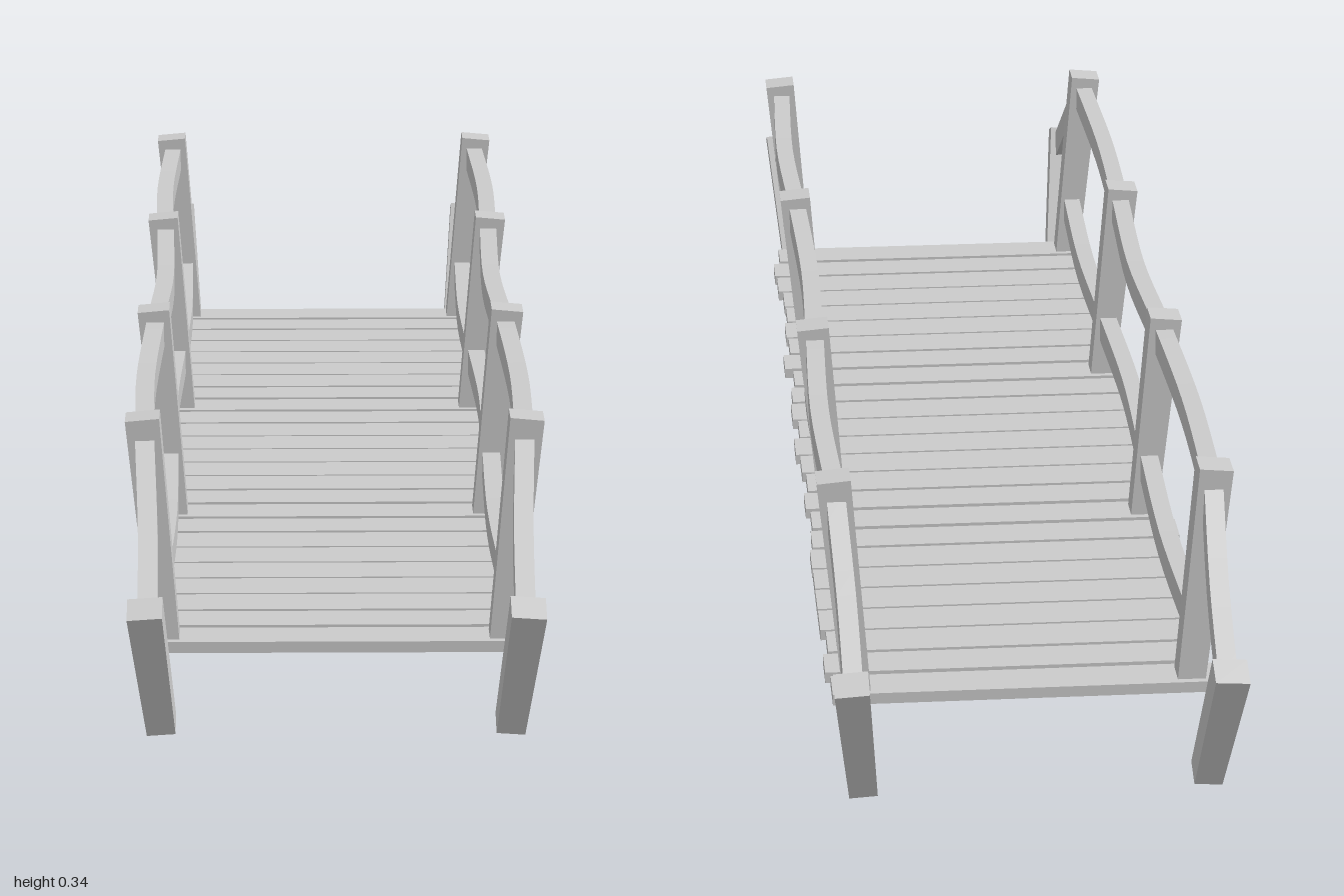
import * as THREE from 'three';

const V = (x, y, z) => new THREE.Vector3(x, y, z);
const material = new THREE.MeshStandardMaterial({ color: 0xcccccc, flatShading: true });

// Square-section beam swept along points; w runs across (x), h is the other thickness
function beam(name, points, w0, h0, w1 = w0, h1 = h0) {
  const pos = [], index = [], n = points.length;
  points.forEach((p, i) => {
    const t = points[Math.min(i + 1, n - 1)].clone().sub(points[Math.max(i - 1, 0)]).normalize();
    const side = V(1, 0, 0).addScaledVector(t, -t.x).normalize();
    const up = t.clone().cross(side);
    const k = i / (n - 1);
    const w = THREE.MathUtils.lerp(w0, w1, k) / 2, h = THREE.MathUtils.lerp(h0, h1, k) / 2;
    for (const [a, b] of [[-1, -1], [1, -1], [1, 1], [-1, 1]]) {
      pos.push(...p.clone().addScaledVector(side, a * w).addScaledVector(up, b * h).toArray());
    }
    if (i === 0) return;
    for (let c = 0; c < 4; c++) {
      const a = (i - 1) * 4 + c, b = (i - 1) * 4 + (c + 1) % 4;
      index.push(a, b, b + 4, a, b + 4, a + 4);
    }
  });
  const e = (n - 1) * 4;
  index.push(0, 2, 1, 0, 3, 2, e, e + 1, e + 2, e, e + 2, e + 3);
  const indexed = new THREE.BufferGeometry();
  indexed.setAttribute('position', new THREE.Float32BufferAttribute(pos, 3));
  indexed.setIndex(index);
  const geometry = indexed.toNonIndexed();
  geometry.computeVertexNormals();
  const mesh = new THREE.Mesh(geometry, material);
  mesh.name = name;
  return mesh;
}

// Centre line of the outward-leaning posts
const leanX = (y) => 0.204 + (y - 0.06) * 0.09;

// Hand-hewn rail, wavering gently between the posts
function rail(name, s, y, sag, sway, height) {
  const pts = [];
  for (let i = 0; i <= 6; i++) {
    const z = -0.75 + i * 0.25;
    const mid = i % 2;
    const yy = y - mid * sag[(i - mid) / 2 % 3];
    pts.push(V(s * (leanX(y) + mid * sway[(i - mid) / 2 % 3]), yy, z));
  }
  return beam(name, new THREE.CatmullRomCurve3(pts).getPoints(30), 0.023, height);
}

export function createModel() {
  const model = new THREE.Group();
  let seed = 7;
  const rand = () => (seed = (seed * 16807) % 2147483647) / 2147483647 - 0.5;

  // Deck planks, with uneven ends and narrower planks under the posts
  const deck = new THREE.Group();
  deck.name = 'deck';
  for (let i = 0; i < 25; i++) {
    const atPost = i % 8 === 0;
    const nearPost = i % 8 === 1 || i % 8 === 7;
    const depth = atPost ? 0.053 : nearPost ? 0.053 : 0.058;
    const plank = new THREE.Mesh(
      new THREE.BoxGeometry(atPost ? 0.468 : 0.476 + rand() * 0.012, 0.014, depth), material);
    plank.name = 'plank';
    plank.position.set(atPost ? 0 : rand() * 0.012, 0.0595, -0.75 + i * 0.0625);
    deck.add(plank);
  }
  model.add(deck);

  for (const s of [1, -1]) {
    const side = new THREE.Group();
    side.name = s > 0 ? 'leftRailing' : 'rightRailing';

    // Upright posts
    for (const z of [-0.75, -0.25, 0.25, 0.75]) {
      side.add(beam('post', [V(s * leanX(0.058), 0.058, z), V(s * leanX(0.343), 0.343, z)],
        0.034, 0.035, 0.041, 0.041));
    }

    // Upper and lower rails
    side.add(rail('upperRail', s, 0.312, [0.003, 0.006, 0.005], [0.006, -0.006, 0.006], 0.033));
    side.add(rail('lowerRail', s, 0.134, [0.006, 0.001, 0.006], [-0.004, 0.006, -0.004], 0.034));

    // Slanted anchor stakes and the rails running down to them
    for (const e of [1, -1]) {
      side.add(beam('anchorStake', [V(s * 0.206, 0.0085, e * 0.906), V(s * 0.222, 0.178, e * 0.981)],
        0.034, 0.035, 0.041, 0.037));
      const slope = new THREE.CatmullRomCurve3([
        V(s * 0.227, 0.312, e * 0.75), V(s * 0.221, 0.227, e * 0.86), V(s * 0.219, 0.154, e * 0.968)]);
      side.add(beam('endRail', slope.getPoints(8), 0.023, 0.034));
    }
    model.add(side);
  }
  return model;
}
